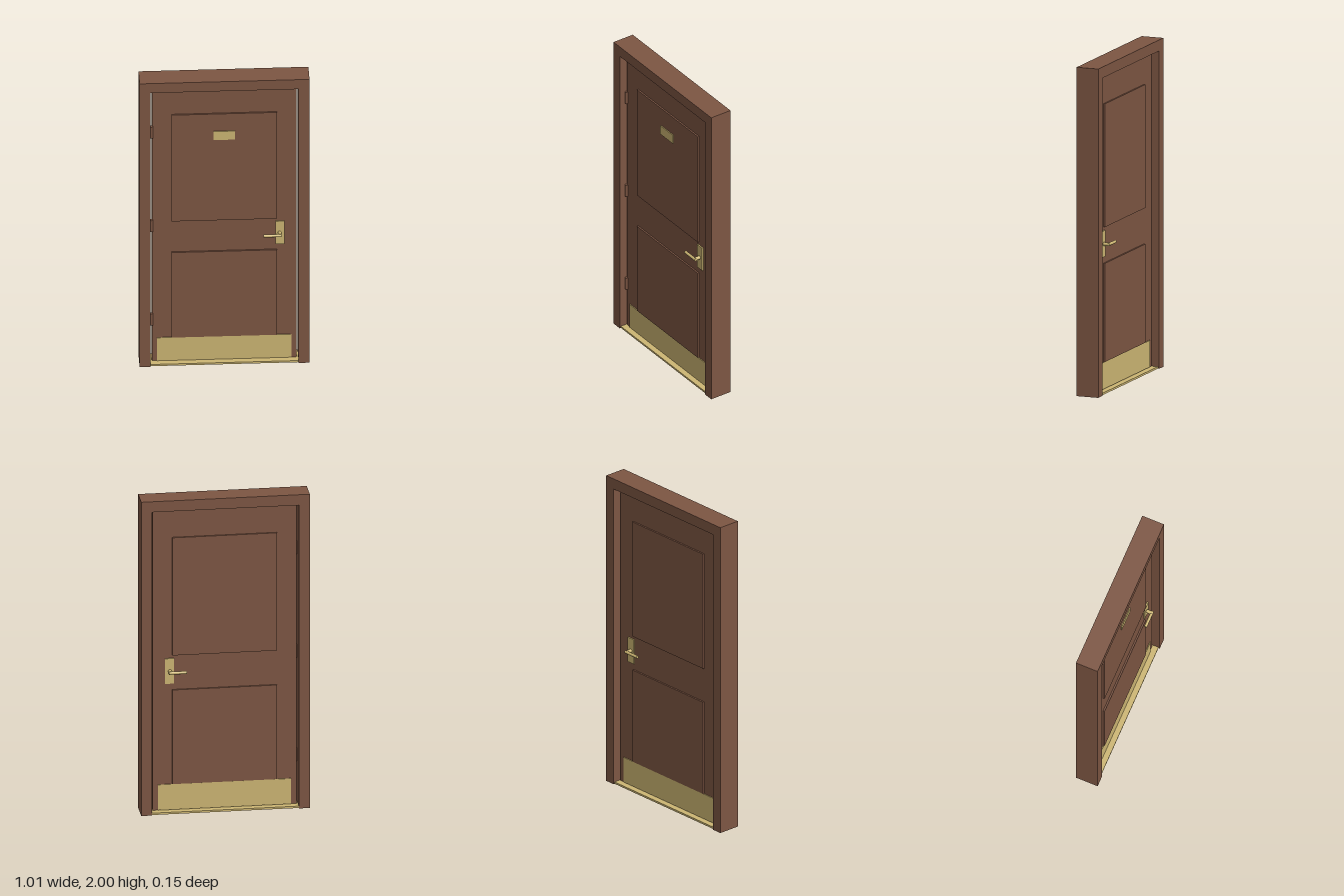
import * as THREE from 'three';

export function createModel() {
  const model = new THREE.Group();
  model.name = 'door';

  const wood = new THREE.MeshStandardMaterial({ color: 0x7d5643 });
  wood.name = 'brown wood';
  const brass = new THREE.MeshStandardMaterial({ color: 0xcdb673 });
  brass.name = 'pale brass';

  const add = (name, geometry, material, x, y, z, parent = model) => {
    const mesh = new THREE.Mesh(geometry, material);
    mesh.name = name;
    mesh.position.set(x, y, z);
    parent.add(mesh);
    return mesh;
  };
  // Box given by its lowest and highest corners
  const box = (name, material, [x0, y0, z0], [x1, y1, z1], parent) =>
    add(name, new THREE.BoxGeometry(x1 - x0, y1 - y0, z1 - z0), material,
      (x0 + x1) / 2, (y0 + y1) / 2, (z0 + z1) / 2, parent);

  // Frame: two full-height jambs, head between them, brass threshold
  box('rightJamb', wood, [-0.507, 0, -0.07], [-0.442, 2, 0.07]);
  box('leftJamb', wood, [0.442, 0, -0.07], [0.507, 2, 0.07]);
  box('frameHead', wood, [-0.442, 1.933, -0.07], [0.442, 2, 0.07]);
  box('threshold', brass, [-0.442, 0, -0.062], [0.442, 0.012, 0.062]);

  // Door leaf
  box('leaf', wood, [-0.432, 0.015, -0.024], [0.432, 1.921, 0.024]);

  // Fittings repeated on both faces; s is the side
  for (const s of [1, -1]) {
    const face = new THREE.Group();
    face.name = s > 0 ? 'frontFace' : 'backFace';
    model.add(face);
    const slab = (name, material, x0, x1, y0, y1, z0, z1) =>
      box(name, material, [x0, y0, Math.min(s * z0, s * z1)], [x1, y1, Math.max(s * z0, s * z1)], face);

    // Raised panels and kick plate
    slab('upperPanel', wood, -0.315, 0.315, 1.0, 1.75, 0.024, 0.034);
    slab('lowerPanel', wood, -0.315, 0.315, 0.18, 0.78, 0.024, 0.034);
    slab('kickPlate', brass, -0.4, 0.4, 0.016, 0.178, 0.024, 0.029);

    // Lever handle on its backplate
    slab('handlePlate', brass, 0.305, 0.359, 0.82, 0.98, 0.024, 0.032);
    const neck = add('handleNeck', new THREE.CylinderGeometry(0.011, 0.011, 0.036, 20), brass, 0.33, 0.9, s * 0.048, face);
    neck.rotation.x = Math.PI / 2;
    const lever = add('handleLever', new THREE.CylinderGeometry(0.009, 0.009, 0.107, 20), brass, 0.287, 0.9, s * 0.066, face);
    lever.rotation.z = Math.PI / 2;
  }

  // Number plate, left blank
  box('namePlate', brass, [-0.065, 1.57, 0.034], [0.065, 1.63, 0.04]);

  // Hinge knuckles
  for (const y of [0.31, 0.97, 1.63]) {
    add('hinge', new THREE.CylinderGeometry(0.01, 0.01, 0.08, 16), wood, -0.434, y, 0.026);
  }

  return model;
}
